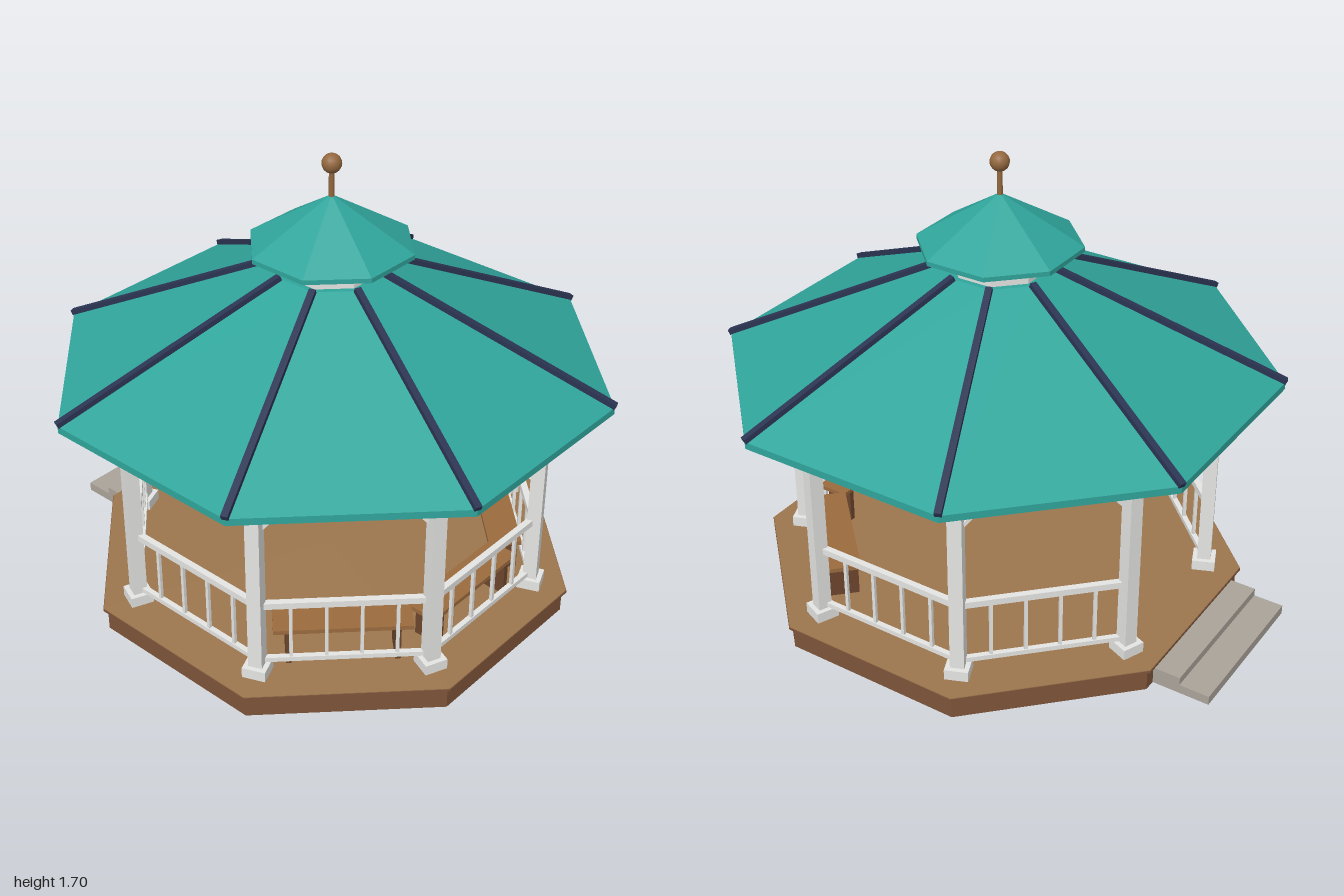
import * as THREE from 'three';

const mat = (name, color) => Object.assign(new THREE.MeshStandardMaterial({ color }), { name });

export function createModel() {
  const teal = mat('teal roofing', 0x30a59b);
  const navy = mat('navy ridge', 0x2b3452);
  const white = mat('white paint', 0xe4e4e2);
  const brown = mat('brown deck frame', 0x7d5439);
  const tan = mat('tan floor', 0x9c764e);
  const stone = mat('grey step', 0xaaa399);
  const cream = mat('soffit', 0xc4baa6);
  const seatWood = mat('bench wood', 0x9a6a3e);
  const legWood = mat('dark bench wood', 0x6b452c);
  const bronze = mat('bronze finial', 0x94683f);

  const model = new THREE.Group();
  model.name = 'gazebo';
  const pavilion = new THREE.Group();
  pavilion.name = 'pavilion';
  pavilion.position.z = 0.05;
  model.add(pavilion);

  const add = (parent, name, geo, material, x = 0, y = 0, z = 0) => {
    const m = new THREE.Mesh(geo, material);
    m.name = name;
    m.position.set(x, y, z);
    parent.add(m);
    return m;
  };
  const box = (parent, name, material, w, h, d, x, y, z) =>
    add(parent, name, new THREE.BoxGeometry(w, h, d), material, x, y, z);

  // Flat-faced octagonal prism or frustum, sized by the distance to its flats
  const C = Math.cos(Math.PI / 8);
  const octagon = (name, material, bottom, top, y0, y1, open = false) => {
    const g = new THREE.CylinderGeometry(top / C, bottom / C, y1 - y0, 8, 1, open, Math.PI / 8).toNonIndexed();
    g.computeVertexNormals();
    return add(pavilion, name, g, material, 0, (y0 + y1) / 2, 0);
  };
  const spoke = (name, angle) => {
    const g = new THREE.Group();
    g.name = name;
    g.rotation.y = angle;
    pavilion.add(g);
    return g;
  };

  // Deck
  octagon('deckBase', brown, 0.832, 0.832, 0, 0.084);
  octagon('deckEdge', brown, 0.848, 0.848, 0.084, 0.093);
  octagon('deckFloor', tan, 0.846, 0.846, 0.093, 0.095);

  // Steps at the back
  box(model, 'upperStep', stone, 0.6, 0.065, 0.108, 0, 0.0325, -0.832);
  box(model, 'lowerStep', stone, 0.6, 0.035, 0.114, 0, 0.0175, -0.943);

  // Main roof
  octagon('soffit', cream, 0.898, 0.898, 0.873, 0.876);
  octagon('lowerFascia', teal, 0.9, 0.9, 0.874, 0.887, true);
  octagon('fascia', teal, 0.94, 0.94, 0.886, 0.912);
  octagon('mainRoof', teal, 0.94, 0.18, 0.912, 1.278);

  // Cupola
  octagon('cupolaNeck', white, 0.16, 0.16, 1.27, 1.362);
  octagon('cupolaEave', teal, 0.275, 0.275, 1.357, 1.374);
  octagon('cupolaRoof', teal, 0.275, 0.006, 1.374, 1.55);
  add(pavilion, 'finialRod', new THREE.CylinderGeometry(0.01, 0.01, 0.12, 10), bronze, 0, 1.59, 0);
  add(pavilion, 'finialBall', new THREE.SphereGeometry(0.035, 14, 10), bronze, 0, 1.667, 0);

  // Posts and roof ridges on the eight corners
  for (let i = 0; i < 8; i++) {
    const corner = spoke('corner', Math.PI / 8 + i * Math.PI / 4);
    box(corner, 'post', white, 0.05, 0.78, 0.05, 0, 0.484, 0.78);
    box(corner, 'postBase', white, 0.085, 0.04, 0.085, 0, 0.115, 0.78);
    const rise = 0.367, run = 0.825;
    const ridge = box(corner, 'roofRidge', navy, 0.024, 0.02, Math.hypot(rise, run), 0, 1.101, 0.6085);
    ridge.rotation.x = Math.atan2(rise, run);
  }

  // Beams, braces, railings and benches on the eight sides
  for (let i = 0; i < 8; i++) {
    const side = spoke('side', i * Math.PI / 4);
    box(side, 'headerBeam', white, 0.585, 0.068, 0.045, 0, 0.84, 0.718);
    box(side, 'frieze', teal, 0.57, 0.046, 0.02, 0, 0.784, 0.713);
    for (const s of [-1, 1]) {
      const brace = box(side, 'brace', white, 0.1, 0.014, 0.014, s * 0.243, 0.737, 0.713);
      brace.rotation.z = -s * Math.PI / 4;
    }
    if (i !== 4) { // the back side stays open above the steps
      box(side, 'topRail', white, 0.57, 0.024, 0.024, 0, 0.383, 0.714);
      box(side, 'bottomRail', white, 0.57, 0.018, 0.02, 0, 0.148, 0.714);
      for (let k = 0; k < 4; k++)
        box(side, 'baluster', white, 0.012, 0.22, 0.012, (k - 1.5) * 0.122, 0.264, 0.714);
    }
    if (i === 0 || i === 1 || i === 7) {
      box(side, 'benchSeat', seatWood, 0.486, 0.016, 0.122, 0, 0.237, 0.629);
      for (const s of [-1, 1])
        box(side, 'benchLeg', legWood, 0.02, 0.135, 0.108, s * 0.19, 0.162, 0.629);
    }
  }
  return model;
}
